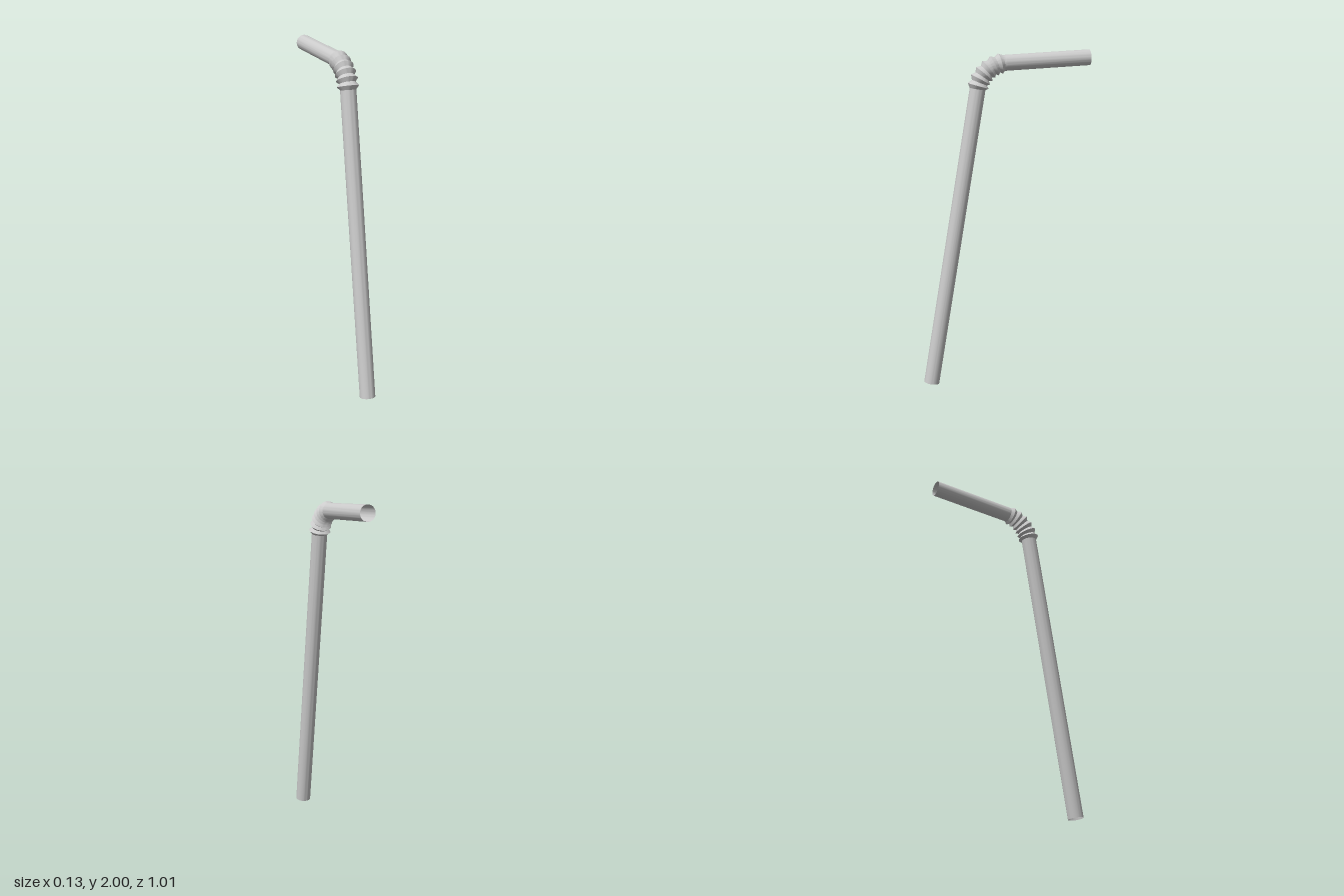
import * as THREE from 'three';
import { toCreasedNormals } from 'three/addons/utils/BufferGeometryUtils.js';

const SIDES = 40;
const RADIUS = 0.046;
const RIDGES = 6;
const BEND = 0.177; // radius of the bend's centre line
const rad = THREE.MathUtils.degToRad;
const A0 = rad(9.46), A1 = rad(83), A2 = rad(87.05);

// Sweeps round sections { y, z, a, r }, where a is the lean from vertical towards -z
function sweep(name, sections) {
  const positions = [], indices = [];
  for (const { y, z, a, r } of sections) {
    for (let j = 0; j < SIDES; j++) {
      const t = (j / SIDES) * Math.PI * 2;
      const out = r * Math.sin(t);
      positions.push(r * Math.cos(t), y + out * Math.sin(a), z + out * Math.cos(a));
    }
  }
  for (let i = 0; i < sections.length - 1; i++) {
    for (let j = 0; j < SIDES; j++) {
      const k = (j + 1) % SIDES;
      const p = i * SIDES + j, q = i * SIDES + k;
      indices.push(p, p + SIDES, q, q, p + SIDES, q + SIDES);
    }
  }
  const geometry = new THREE.BufferGeometry();
  geometry.setAttribute('position', new THREE.Float32BufferAttribute(positions, 3));
  geometry.setIndex(indices);
  const material = new THREE.MeshStandardMaterial({ color: 0xcccccc, side: THREE.DoubleSide });
  const mesh = new THREE.Mesh(toCreasedNormals(geometry, rad(30)), material);
  mesh.name = name;
  return mesh;
}

export function createModel() {
  const straw = new THREE.Group();
  straw.name = 'bendyStraw';

  // Section on the circular bend at lean angle a
  const neck = { y: 1.78, z: 0.165 };
  const centre = { y: neck.y - BEND * Math.sin(A0), z: neck.z - BEND * Math.cos(A0) };
  const onBend = (a, r) => ({
    y: centre.y + BEND * Math.sin(a), z: centre.z + BEND * Math.cos(a), a, r,
  });

  // Long open lower tube
  const foot = { y: RADIUS * Math.sin(A0), z: 0.46, a: A0, r: RADIUS };
  straw.add(sweep('lowerTube', [foot, onBend(A0, RADIUS)]));

  // Corrugated elbow: sharp ridges, slightly wider at the lower end
  const folds = [];
  const step = (A1 - A0) / RIDGES;
  for (let i = 0; i < RIDGES; i++) {
    folds.push(onBend(A0 + i * step, RADIUS));
    folds.push(onBend(A0 + (i + 0.5) * step, 0.063 - 0.0008 * i));
  }
  folds.push(onBend(A1, RADIUS), onBend(A2, RADIUS));
  straw.add(sweep('flexibleElbow', folds));

  // Short open mouthpiece
  const tip = { y: 2 - RADIUS, z: -0.503, a: A2, r: RADIUS };
  straw.add(sweep('upperTube', [onBend(A2, RADIUS), tip]));

  return straw;
}
